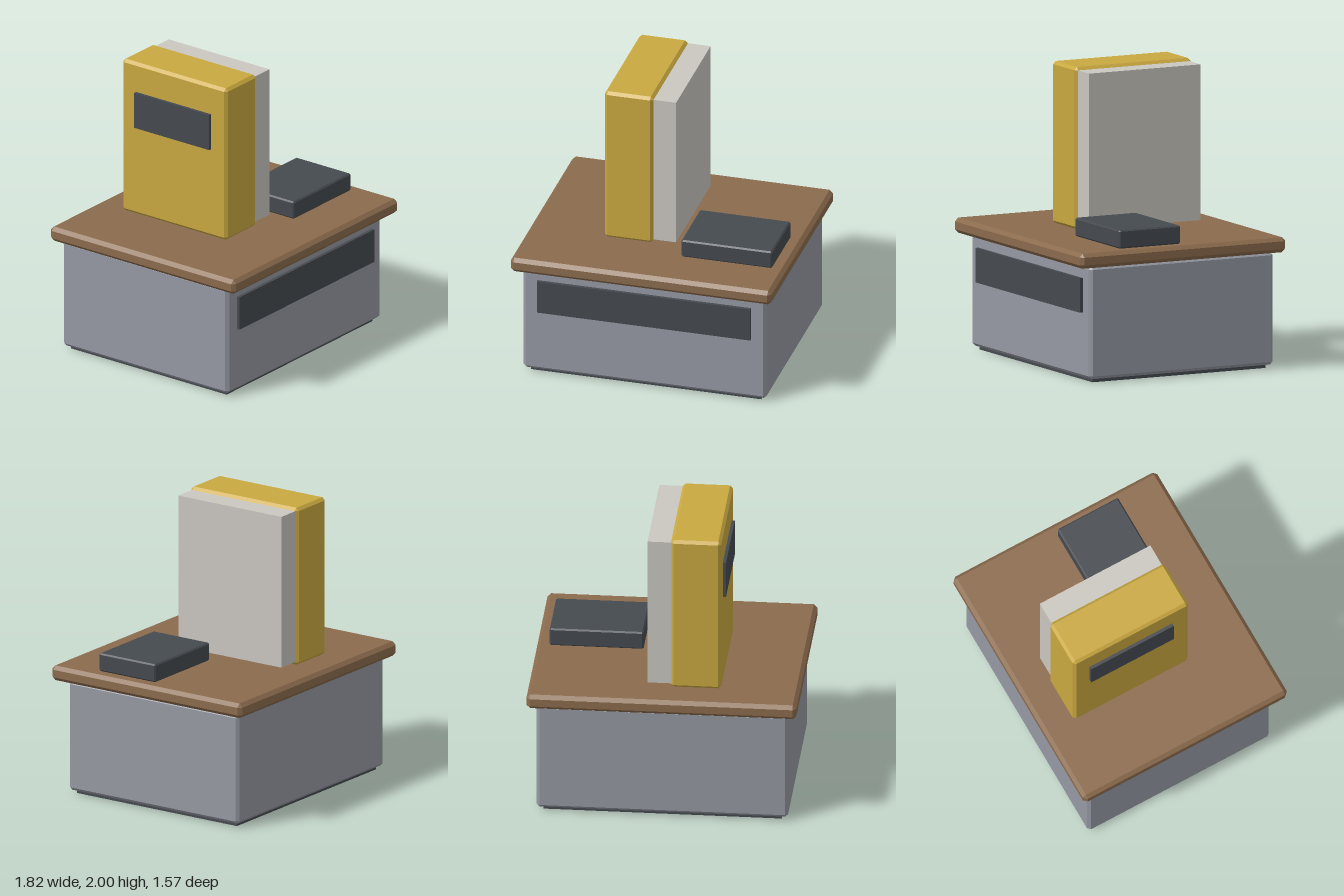
import * as THREE from 'three';
import { ConvexGeometry } from 'three/addons/geometries/ConvexGeometry.js';

const material = (name, color) => {
  const m = new THREE.MeshStandardMaterial({ color });
  m.name = name;
  return m;
};

// Box with every edge and corner cut flat by c
function chamferedBox(w, h, d, c) {
  const points = [];
  for (const x of [-1, 1]) for (const y of [-1, 1]) for (const z of [-1, 1]) {
    const [X, Y, Z] = [w / 2, h / 2, d / 2];
    points.push(
      new THREE.Vector3(x * X, y * (Y - c), z * (Z - c)),
      new THREE.Vector3(x * (X - c), y * Y, z * (Z - c)),
      new THREE.Vector3(x * (X - c), y * (Y - c), z * Z));
  }
  return new ConvexGeometry(points);
}

export function createModel() {
  const group = new THREE.Group();
  group.name = 'deskUnit';
  const grey = material('grey metal', 0x9599a2);
  const wood = material('brown wood', 0x8b6b4d);
  const yellow = material('yellow cover', 0xc9a840);
  const paper = material('pale paper', 0xcac7c0);
  const dark = material('dark slate', 0x454a50);

  // Adds a box spanning the given ranges on each axis
  const block = (name, mat, [x0, x1], [y0, y1], [z0, z1], chamfer = 0) => {
    const size = [x1 - x0, y1 - y0, z1 - z0];
    const geometry = chamfer ? chamferedBox(...size, chamfer) : new THREE.BoxGeometry(...size);
    const mesh = new THREE.Mesh(geometry, mat);
    mesh.name = name;
    mesh.position.set((x0 + x1) / 2, (y0 + y1) / 2, (z0 + z1) / 2);
    group.add(mesh);
  };

  // Cabinet
  block('plinth', dark, [-0.805, 0.805], [0, 0.05], [-0.68, 0.64]);
  block('cabinetBody', grey, [-0.85, 0.85], [0.025, 0.793], [-0.72, 0.682], 0.021);
  block('frontPanel', dark, [-0.745, 0.745], [0.47, 0.705], [0.67, 0.705]);
  block('tableTop', wood, [-0.912, 0.912], [0.793, 0.896], [-0.785, 0.785], 0.025);

  // Upright binder with its pages and side label
  block('binderCover', yellow, [-0.385, -0.045], [0.896, 2], [-0.572, 0.315], 0.02);
  block('pages', paper, [-0.06, 0.113], [0.92, 1.98], [-0.555, 0.297]);
  block('sideLabel', dark, [-0.407, -0.375], [1.535, 1.79], [-0.45, 0.187]);

  // Low box on the table
  block('lowBox', dark, [0.19, 0.825], [0.896, 1.022], [-0.02, 0.446], 0.01);

  return group;
}
